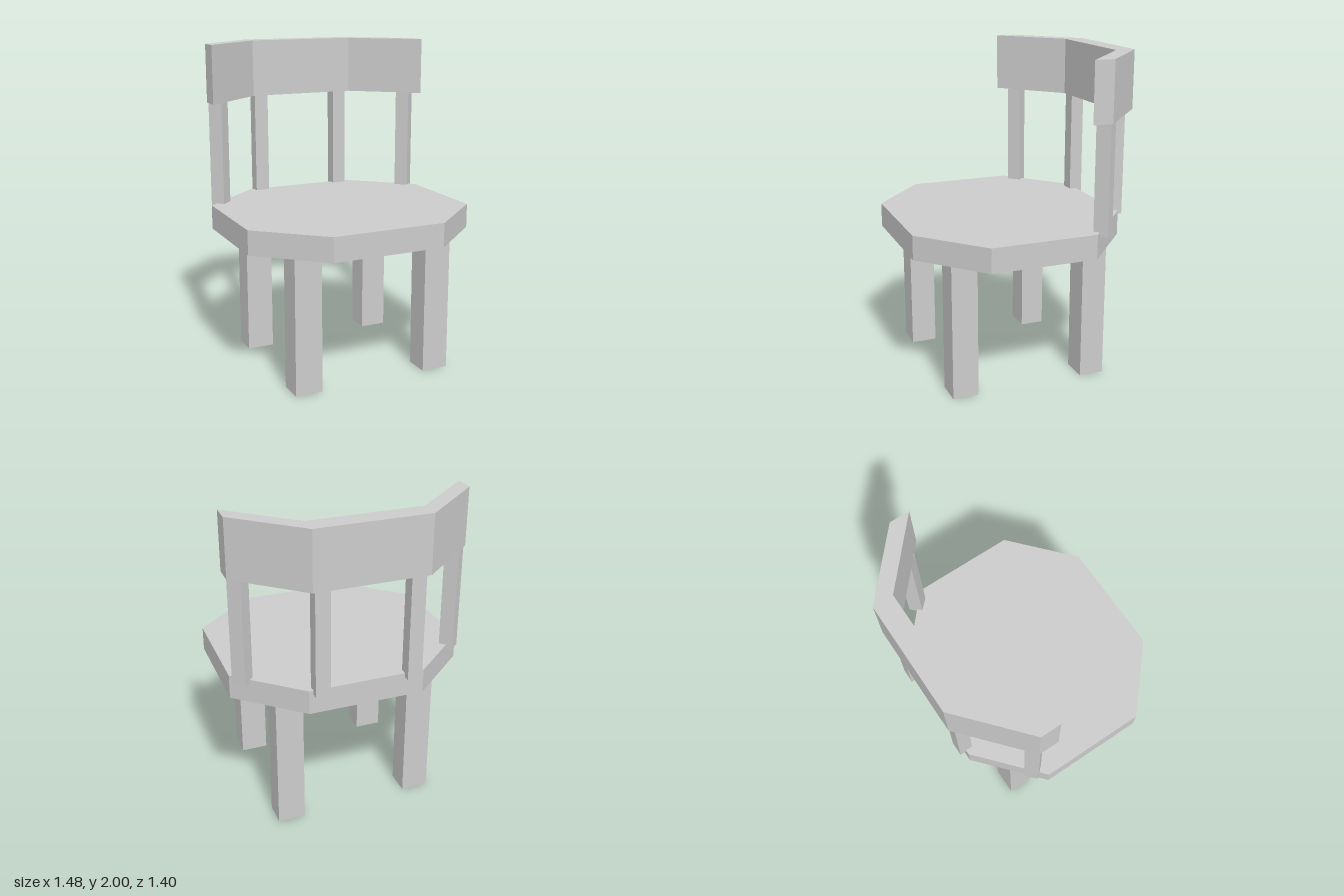
import * as THREE from 'three';

const material = new THREE.MeshStandardMaterial({ color: 0xcccccc, flatShading: true });

// Vertical prism from a floor-plan outline of [x, z] points
function prism(name, outline, y0, y1) {
  const shape = new THREE.Shape(outline.map(([x, z]) => new THREE.Vector2(x, -z)));
  const geometry = new THREE.ExtrudeGeometry(shape, { depth: y1 - y0, bevelEnabled: false });
  geometry.rotateX(-Math.PI / 2).translate(0, y0, 0);
  const mesh = new THREE.Mesh(geometry, material);
  mesh.name = name;
  return mesh;
}

// Upright square post, turned about its own axis
function post(name, x, z, width, depth, y0, y1, turn = 0) {
  const mesh = new THREE.Mesh(new THREE.BoxGeometry(width, y1 - y0, depth), material);
  mesh.position.set(x, (y0 + y1) / 2, z);
  mesh.rotation.y = turn;
  mesh.name = name;
  return mesh;
}

export function createModel() {
  const chair = new THREE.Group();
  chair.name = 'chair';

  // Octagonal seat
  chair.add(prism('seat', [
    [-0.74, 0.36], [-0.36, 0.7], [0.355, 0.7], [0.735, 0.36],
    [0.735, -0.295], [0.355, -0.63], [-0.36, -0.63], [-0.74, -0.295],
  ], 0.85, 1));

  // Three-panel backrest: the rear line repeated a little further forward
  const rear = [[-0.725, -0.37], [-0.34, -0.705], [0.355, -0.705], [0.735, -0.37]];
  const front = rear.map(([x, z]) => [x, z + 0.125]).reverse();
  chair.add(prism('backrest', [...rear, ...front], 1.64, 2));

  // Legs
  chair.add(post('frontLeftLeg', 0.425, 0.44, 0.17, 0.16, 0, 0.86));
  chair.add(post('frontRightLeg', -0.435, 0.44, 0.17, 0.16, 0, 0.86));
  chair.add(post('backLeftLeg', 0.425, -0.395, 0.17, 0.155, 0, 0.86));
  chair.add(post('backRightLeg', -0.435, -0.36, 0.17, 0.155, 0, 0.86));

  // Back spindles: two square to the front, two turned along the side panels
  for (const side of [-1, 1]) {
    const label = side > 0 ? 'Left' : 'Right';
    chair.add(post(`inner${label}Spindle`, side * 0.285, -0.628, 0.09, 0.084, 0.975, 1.65));
    chair.add(post(`outer${label}Spindle`, side > 0 ? 0.671 : -0.657, -0.36, 0.088, 0.088, 0.975, 1.64, -side * Math.PI / 4));
  }
  return chair;
}
